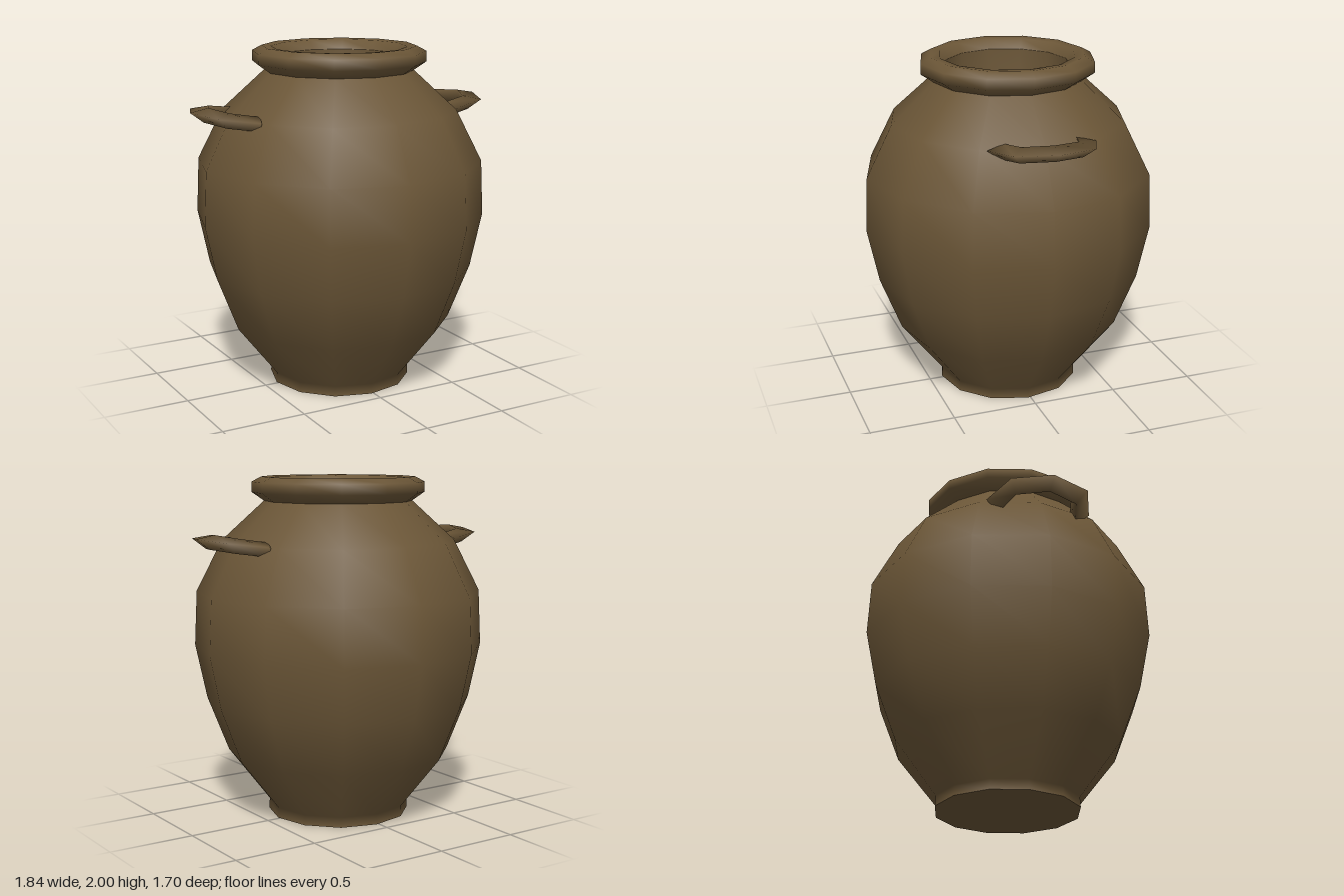
import * as THREE from 'three';

const SIDES = 12;
const clay = new THREE.MeshStandardMaterial({ color: 0x6b5637 });
clay.name = 'brown clay';

// Turned part from [radius, height] pairs
function turned(name, profile) {
  const points = profile.map(([r, y]) => new THREE.Vector2(r, y));
  const mesh = new THREE.Mesh(new THREE.LatheGeometry(points, SIDES), clay);
  mesh.name = name;
  return mesh;
}

// Bent lug handle: a triangular section carried along five stations
function handleGeometry() {
  // x, y, z of the centre, then outward direction in x and z
  const stations = [
    [0.605, 1.62, 0.25, 0.32, 0.95],
    [0.79, 1.645, 0.188, 0.8, 0.6],
    [0.86, 1.657, 0, 1, 0],
    [0.79, 1.645, -0.188, 0.8, -0.6],
    [0.605, 1.62, -0.25, 0.32, -0.95],
  ];
  // outward and upward offsets: outer, top and bottom corners
  const section = [[0.063, 0.013], [-0.047, 0.033], [-0.017, -0.047]];
  const positions = [];
  const index = [];
  for (const [x, y, z, nx, nz] of stations) {
    for (const [out, up] of section) positions.push(x + nx * out, y + up, z + nz * out);
  }
  for (let s = 0; s < stations.length - 1; s++) {
    for (let k = 0; k < 3; k++) {
      const a = s * 3 + k;
      const b = s * 3 + (k + 1) % 3;
      index.push(a, a + 3, b, b, a + 3, b + 3);
    }
  }
  // end caps
  const last = (stations.length - 1) * 3;
  index.push(0, 1, 2, last, last + 2, last + 1);
  const geometry = new THREE.BufferGeometry();
  geometry.setAttribute('position', new THREE.Float32BufferAttribute(positions, 3));
  geometry.setIndex(index);
  geometry.computeVertexNormals();
  return geometry;
}

export function createModel() {
  const jar = new THREE.Group();
  jar.name = 'jar';

  // Foot, belly and shoulder
  jar.add(turned('body', [
    [0.42, 0], [0.417, 0.06], [0.66, 0.37], [0.785, 0.69],
    [0.852, 1.01], [0.837, 1.33], [0.685, 1.63], [0.435, 1.86],
  ]));
  // Rolled lip
  jar.add(turned('rim', [
    [0.435, 1.86], [0.507, 1.91], [0.507, 1.97], [0.45, 2], [0.395, 1.995], [0.36, 1.94],
  ]));
  // Inside of the jar and flat underside
  jar.add(turned('interior', [[0.36, 1.94], [0.355, 1.6], [0.28, 1.2], [0, 1.0]]));
  jar.add(turned('base', [[0, 0], [0.42, 0]]));

  // Pair of handles on the shoulder
  const geometry = handleGeometry();
  for (const [name, turn] of [['leftHandle', 0], ['rightHandle', Math.PI]]) {
    const handle = new THREE.Mesh(geometry, clay);
    handle.name = name;
    handle.rotation.y = turn;
    jar.add(handle);
  }

  // The whole jar sits slightly turned
  jar.rotation.y = -0.035;
  const model = new THREE.Group();
  model.name = 'model';
  model.add(jar);
  return model;
}
